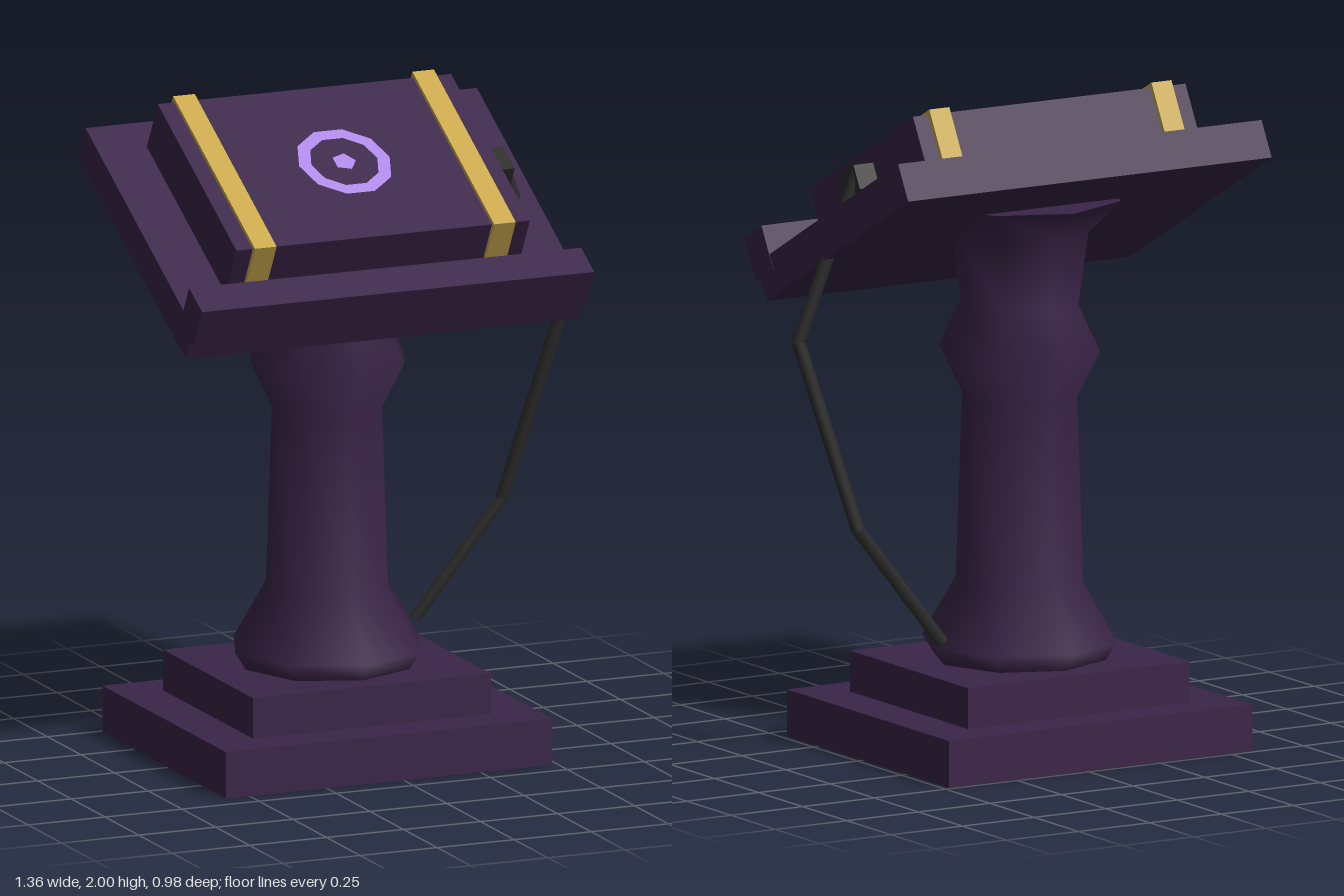
import * as THREE from 'three';

export function createModel() {
  const model = new THREE.Group();
  const mat = (name, color, extra = {}) => {
    const m = new THREE.MeshStandardMaterial({ color, ...extra });
    m.name = name;
    return m;
  };
  const wood = mat('darkPurple', 0x3b2548);
  const gold = mat('gold', 0xc9a84c);
  const lilac = mat('lilac', 0xae88e8);
  const iron = mat('iron', 0x2b2c2a);

  const add = (parent, name, geo, material, x = 0, y = 0, z = 0) => {
    const mesh = new THREE.Mesh(geo, material);
    mesh.name = name;
    mesh.position.set(x, y, z);
    parent.add(mesh);
    return mesh;
  };
  // Box given by its min and max on each axis
  const box = (parent, name, material, [x0, x1], [y0, y1], [z0, z1]) =>
    add(parent, name, new THREE.BoxGeometry(x1 - x0, y1 - y0, z1 - z0), material,
      (x0 + x1) / 2, (y0 + y1) / 2, (z0 + z1) / 2);

  const cx = -0.048, cz = -0.03;

  // Stepped plinth
  box(model, 'plinth', wood, [-0.577, 0.481], [0, 0.142], [-0.488, 0.43]);
  box(model, 'plinthStep', wood, [-0.435, 0.338], [0.142, 0.266], [-0.364, 0.305]);

  // Eight-sided turned column with a flared head
  const profile = [
    [0.262, 0.265], [0.298, 0.32], [0.195, 0.5], [0.176, 1.06], [0.246, 1.2],
    [0.18, 1.34], [0.21, 1.56], [0.31, 1.66],
  ].map(([r, y]) => new THREE.Vector2(r, y));
  add(model, 'column', new THREE.LatheGeometry(profile, 8), wood, cx, 0, cz);
  add(model, 'columnTop', new THREE.CircleGeometry(0.31, 8).rotateX(-Math.PI / 2), wood, cx, 1.66, cz);

  // Tilted desk: everything here shares one slope
  const desk = new THREE.Group();
  desk.name = 'desk';
  desk.rotation.x = 0.5;
  model.add(desk);
  box(desk, 'board', wood, [-0.682, 0.588], [1.355, 1.474], [-1.23, -0.317]);
  box(desk, 'ledge', wood, [-0.683, 0.589], [1.428, 1.565], [-0.4, -0.29]);

  // Closed book with two straps
  box(desk, 'book', wood, [-0.524, 0.428], [1.47, 1.643], [-1.123, -0.457]);
  for (const x of [-0.436, 0.34]) {
    box(desk, 'strap', gold, [x - 0.035, x + 0.035], [1.472, 1.655], [-1.137, -0.444]);
  }

  // Emblem: ring and centre stud
  const flat = (g) => g.rotateX(-Math.PI / 2);
  add(desk, 'emblemRing', flat(new THREE.RingGeometry(0.107, 0.147, 10)), lilac, cx, 1.648, -0.788);
  add(desk, 'emblemStud', flat(new THREE.CircleGeometry(0.037, 5)), lilac, cx, 1.648, -0.788);

  // Lock on the book's side
  box(desk, 'lock', iron, [0.42, 0.497], [1.519, 1.595], [-0.84, -0.739]);

  // Tether hanging from the lock towards the plinth
  const path = [
    [0.48, 1.775, 0.035], [0.66, 1.275, 0.075], [0.52, 0.71, -0.033], [0.268, 0.355, -0.1],
  ].map((p) => new THREE.Vector3(...p));
  const up = new THREE.Vector3(0, 1, 0);
  for (let i = 0; i < path.length - 1; i++) {
    const dir = path[i + 1].clone().sub(path[i]);
    const length = dir.length();
    const link = add(model, 'tether', new THREE.CylinderGeometry(0.021, 0.021, length + 0.008, 6), iron);
    link.position.copy(path[i]).addScaledVector(dir, 0.5);
    link.quaternion.setFromUnitVectors(up, dir.normalize());
  }

  return model;
}
